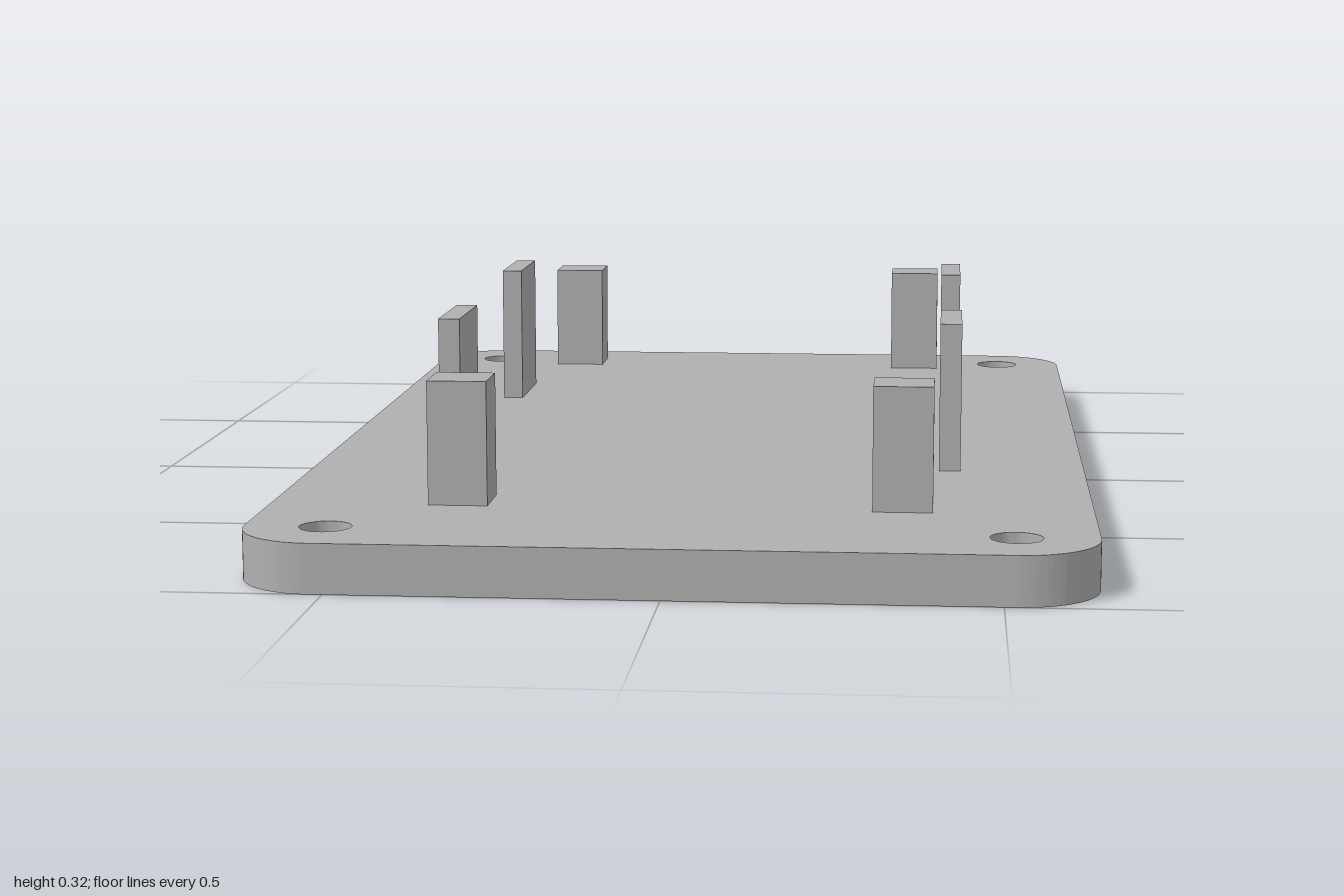
import * as THREE from 'three';
import { mergeGeometries, toCreasedNormals } from 'three/addons/utils/BufferGeometryUtils.js';

const HALF_X = 0.645, HALF_Z = 1, CORNER = 0.125, THICK = 0.077;
const HOLE_X = 0.52, HOLE_Z = 0.877, HOLE_R = 0.04, BORE_R = 0.065, BORE_DEPTH = 0.038;
const SEGMENTS = 32;

// Rounded rectangle with a round hole near each corner
function plateShape(holeRadius) {
  const x = HALF_X - CORNER, z = HALF_Z - CORNER;
  const shape = new THREE.Shape();
  [[x, z], [-x, z], [-x, -z], [x, -z]].forEach(([cx, cz], i) =>
    shape.absarc(cx, cz, CORNER, i * Math.PI / 2, (i + 1) * Math.PI / 2, false));
  shape.closePath();
  if (holeRadius) {
    for (const sx of [-1, 1]) for (const sz of [-1, 1]) {
      const hole = new THREE.Path();
      hole.absarc(sx * HOLE_X, sz * HOLE_Z, holeRadius, 0, Math.PI * 2, true);
      shape.holes.push(hole);
    }
  }
  return shape;
}

// Plate skin: top, underside, rim and stepped screw holes
function plateGeometry() {
  const top = new THREE.ShapeGeometry(plateShape(HOLE_R), SEGMENTS)
    .rotateX(-Math.PI / 2).translate(0, THICK, 0);
  const bottom = new THREE.ShapeGeometry(plateShape(BORE_R), SEGMENTS).rotateX(Math.PI / 2);

  // Keep only the side walls of the extrusion
  const solid = new THREE.ExtrudeGeometry(plateShape(0),
    { depth: THICK, bevelEnabled: false, curveSegments: SEGMENTS }).rotateX(-Math.PI / 2);
  const { start, count } = solid.groups[1];
  const rim = new THREE.BufferGeometry();
  rim.setAttribute('position', new THREE.BufferAttribute(
    solid.attributes.position.array.slice(start * 3, (start + count) * 3), 3));

  const parts = [top, bottom, rim];
  const profile = [[HOLE_R, THICK], [HOLE_R, BORE_DEPTH], [BORE_R, BORE_DEPTH], [BORE_R, 0]]
    .map(([r, y]) => new THREE.Vector2(r, y));
  for (const sx of [-1, 1]) for (const sz of [-1, 1])
    parts.push(new THREE.LatheGeometry(profile, SEGMENTS).translate(sx * HOLE_X, 0, sz * HOLE_Z));

  const plain = parts.map((part) => {
    const g = part.index ? part.toNonIndexed() : part;
    g.deleteAttribute('uv');
    g.deleteAttribute('normal');
    return g;
  });
  return toCreasedNormals(mergeGeometries(plain), 0.5);
}

export function createModel() {
  const model = new THREE.Group();
  model.name = 'mountingPlate';
  const grey = new THREE.MeshStandardMaterial({ color: 0xb0b0b0 });
  grey.name = 'grey plastic';

  const plate = new THREE.Mesh(plateGeometry(), grey);
  plate.name = 'basePlate';
  model.add(plate);

  // Upright standing on the plate, mirrored left and right
  function addPair(name, x, z, width, depth, topY) {
    const height = topY - THICK;
    for (const side of [-1, 1]) {
      const post = new THREE.Mesh(new THREE.BoxGeometry(width, height, depth), grey);
      post.name = (side > 0 ? 'left' : 'right') + name;
      post.position.set(side * x, THICK + height / 2, z);
      model.add(post);
    }
  }
  addPair('FrontPost', 0.348, 0.656, 0.094, 0.092, 0.274);
  addPair('BackPost', 0.348, -0.856, 0.094, 0.092, 0.274);
  addPair('FrontTab', 0.421, 0.253, 0.036, 0.185, 0.324);
  addPair('BackTab', 0.421, -0.453, 0.036, 0.185, 0.324);
  return model;
}
